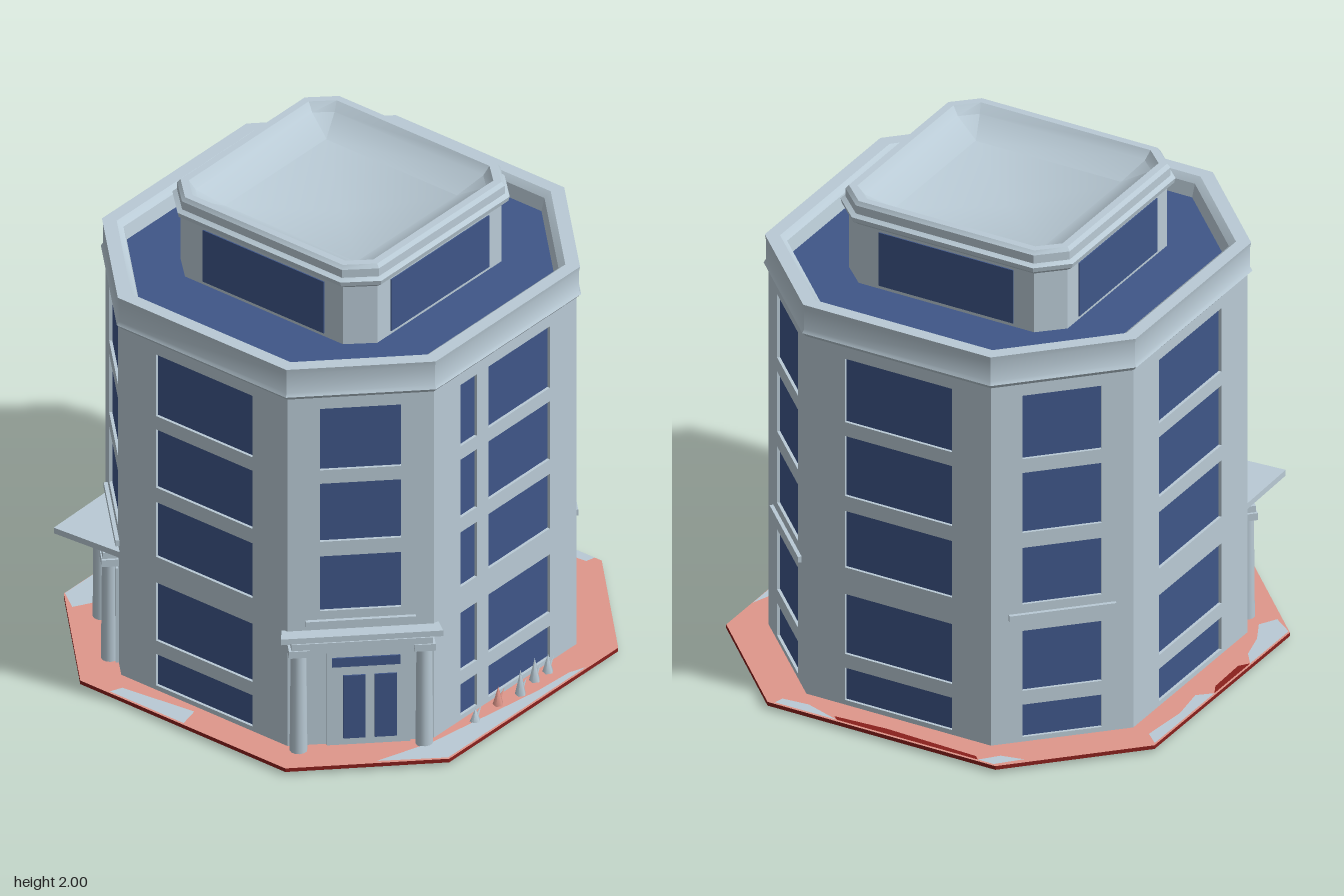
import * as THREE from 'three';
import { toCreasedNormals } from 'three/addons/utils/BufferGeometryUtils.js';

const mat = (name, color) => Object.assign(new THREE.MeshStandardMaterial({ color }), { name });

export function createModel() {
  const root = new THREE.Group();
  const stone = mat('pale stone', 0xb9cad5);
  const glass = mat('blue glass', 0x3f5688);
  const paving = mat('salmon paving', 0xdf978b);
  const kerbRed = mat('dark red kerb', 0x8a201c);

  function add(parent, name, geo, material, x = 0, y = 0, z = 0) {
    const m = new THREE.Mesh(geo, material);
    m.name = name;
    m.position.set(x, y, z);
    parent.add(m);
    return m;
  }
  const box = (parent, name, w, h, d, material, x, y, z) =>
    add(parent, name, new THREE.BoxGeometry(w, h, d), material, x, y, z);

  // Chamfered rectangle: half sizes hx, hz and corner positions cx, cz
  const corners = ([hx, hz, cx, cz], d = 0) => {
    const X = hx + d, Z = hz + d, a = Math.max(cx + d * 0.414, 0), b = Math.max(cz + d * 0.414, 0);
    return [[a, Z], [X, b], [X, -b], [a, -Z], [-a, -Z], [-X, -b], [-X, b], [-a, Z]];
  };

  // Skin through rings [offset, y]; an offset of null closes at the centre
  function loft(plan, rings, crease = 0.6) {
    const pos = [], idx = [];
    for (const [d, y] of rings)
      for (const [x, z] of corners(plan, d ?? 0)) pos.push(d === null ? 0 : x, y, d === null ? 0 : z);
    for (let i = 0; i < rings.length - 1; i++)
      for (let j = 0; j < 8; j++) {
        const a = i * 8 + j, b = i * 8 + (j + 1) % 8;
        if (rings[i][0] !== null) idx.push(a, b, b + 8);
        if (rings[i + 1][0] !== null) idx.push(a, b + 8, a + 8);
      }
    const g = new THREE.BufferGeometry();
    g.setAttribute('position', new THREE.Float32BufferAttribute(pos, 3));
    g.setIndex(idx);
    return toCreasedNormals(g, crease);
  }

  const wallPlan = [0.825, 0.8, 0.43, 0.405];
  const basePlan = [0.955, 0.94, 0.51, 0.5];
  const topPlan = [0.465, 0.48, 0.375, 0.385];

  // Paved base
  add(root, 'basePaving', loft(basePlan, [[0, 0.03], [null, 0.03]]), paving);
  add(root, 'baseKerb', loft(basePlan, [[-0.02, 0.008], [0, 0.014], [0, 0.03]]), kerbRed);
  add(root, 'baseUnderside', loft(basePlan, [[null, 0], [-0.02, 0.008]]), stone);

  // Worn patches on the paving, as [x, z] outlines
  const patches = [
    [stone, [[-0.57, -0.85], [-0.51, -0.935], [-0.22, -0.935], [-0.28, -0.89], [-0.4, -0.86], [-0.5, -0.81]]],
    [stone, [[0.05, -0.935], [0.5, -0.935], [0.45, -0.88], [0.25, -0.9], [0.1, -0.88]]],
    [stone, [[-0.95, -0.36], [-0.9, -0.34], [-0.86, -0.02], [-0.95, 0]]],
    [stone, [[0.86, -0.57], [0.95, -0.49], [0.95, -0.42], [0.88, -0.48]]],
    [stone, [[0.95, 0.2], [0.95, 0.47], [0.91, 0.46], [0.9, 0.35]]],
    [stone, [[-0.7, 0.74], [-0.46, 0.82], [0.08, 0.9], [0.25, 0.91], [0.32, 0.935], [-0.51, 0.935]]],
    [kerbRed, [[0.95, -0.42], [0.95, 0.2], [0.93, 0.22], [0.915, 0], [0.93, -0.4]]],
    [kerbRed, [[-0.22, -0.935], [0.05, -0.935], [0, -0.91], [-0.18, -0.905]]],
  ];
  for (const [m, pts] of patches) {
    const shape = new THREE.Shape(pts.map(([x, z]) => new THREE.Vector2(x, -z)));
    add(root, 'pavingPatch', new THREE.ShapeGeometry(shape).rotateX(-Math.PI / 2), m, 0, 0.034, 0);
  }

  // Inner body behind the facades
  add(root, 'wallCore', loft(wallPlan, [[-0.025, 0.03], [-0.025, 1.62]]), stone);

  // Eight facades with window openings
  const rows = [[0.05, 0.19], [0.25, 0.51], [0.625, 0.87], [0.935, 1.195], [1.255, 1.53]];
  const rect = (Type, x0, x1, y0, y1) =>
    new Type([[x0, y0], [x1, y0], [x1, y1], [x0, y1]].map(([x, y]) => new THREE.Vector2(x, y)));
  const pts = corners(wallPlan);

  pts.forEach(([x0, z0], i) => {
    const [x1, z1] = pts[(i + 1) % 8];
    const len = Math.hypot(x1 - x0, z1 - z0);
    const face = new THREE.Group();
    face.name = 'facade';
    face.position.set((x0 + x1) / 2, 0, (z0 + z1) / 2);
    face.rotation.y = Math.atan2(z0 - z1, x1 - x0);
    root.add(face);

    const diagonal = i % 2 === 0;
    const front = i === 7;
    const entrance = i === 4 || i === 6;
    const spans = front ? [[-0.27, -0.17], [-0.1, 0.27]] : diagonal ? [[-0.155, 0.155]] : [[-0.235, 0.235]];
    const wall = rect(THREE.Shape, -len / 2, len / 2, 0.03, 1.62);
    for (const [y0, y1] of entrance ? rows.slice(2) : rows)
      for (const [a, b] of spans) {
        wall.holes.push(rect(THREE.Path, a, b, y0, y1));
        box(face, 'window', b - a, y1 - y0, 0.008, glass, (a + b) / 2, (y0 + y1) / 2, -0.016);
      }
    add(face, 'wall', new THREE.ExtrudeGeometry(wall, { depth: 0.025, bevelEnabled: false }), stone, 0, 0, -0.025);
    if (diagonal) box(face, 'ledge', 0.42, 0.025, 0.02, stone, 0, 0.575, 0.005);
    if (entrance) buildEntrance(face, i === 4);
  });

  // Entrance: door, side columns and a straight or pointed canopy
  function buildEntrance(face, pointed) {
    const w = pointed ? 0.15 : 0.24;
    box(face, 'doorFrame', 0.32, 0.42, 0.012, stone, 0.03, 0.24, 0.006);
    for (const x of [-0.025, 0.095]) box(face, 'doorPane', 0.085, 0.28, 0.008, glass, x, 0.2, 0.014);
    box(face, 'transom', 0.26, 0.04, 0.008, glass, 0.02, 0.4, 0.014);
    for (const s of [-1, 1]) {
      add(face, 'entranceColumn', new THREE.CylinderGeometry(0.03, 0.034, 0.45, 12), stone, s * w, 0.255, 0.03);
      box(face, 'columnCap', 0.08, 0.03, 0.07, stone, s * w, 0.475, 0.03);
    }
    box(face, 'lintel', w * 2 + 0.06, 0.045, 0.06, stone, 0, 0.495, 0.03);
    const outline = pointed
      ? [[-0.23, -0.01], [0.23, -0.01], [0.02, 0.23]]
      : [[-0.3, -0.01], [0.3, -0.01], [0.31, 0.055], [-0.31, 0.055]];
    const shape = new THREE.Shape(outline.map(([x, z]) => new THREE.Vector2(x, -z)));
    const slab = new THREE.ExtrudeGeometry(shape, { depth: 0.025, bevelEnabled: false }).rotateX(-Math.PI / 2);
    add(face, 'canopy', slab, stone, 0, 0.517, 0);
  }

  // Parapet moulding and the blue roof deck inside it
  add(root, 'parapet', loft(wallPlan, [
    [0, 1.58], [0.018, 1.6], [0.01, 1.615], [0.01, 1.7], [0.014, 1.722],
    [-0.04, 1.722], [-0.065, 1.7], [-0.08, 1.63],
  ]), stone);
  add(root, 'roofDeck', loft(wallPlan, [[-0.075, 1.645], [null, 1.645]]), glass);

  // Penthouse with a moulded rim and a dished roof
  add(root, 'penthouse', loft(topPlan, [
    [0, 1.64], [0, 1.9], [0.025, 1.92], [0.03, 1.94], [0.012, 1.95], [0.012, 1.985], [0, 2],
    [-0.03, 2], [-0.055, 1.965], [-0.16, 1.91], [null, 1.86],
  ]), stone);
  for (let k = 0; k < 4; k++) {
    const side = new THREE.Group();
    side.name = 'penthouseSide';
    side.rotation.y = k * Math.PI / 2;
    box(side, 'penthouseWindow', 0.59, 0.23, 0.008, glass, 0, 1.775, k % 2 ? 0.466 : 0.481);
    root.add(side);
  }

  // Small pointed figures on the front paving
  [[-0.24, 0.85, 0.06], [-0.09, 0.84, 0.08], [0.02, 0.86, 0.11], [0.13, 0.84, 0.1], [0.21, 0.84, 0.08]]
    .forEach(([x, z, h], i) => {
      const m = i === 1 ? paving : stone;
      add(root, 'figureBody', new THREE.ConeGeometry(0.022, h, 5), m, x, 0.03 + h / 2, z);
      const arm = add(root, 'figureArm', new THREE.ConeGeometry(0.012, 0.07, 4), m, x + 0.015, 0.06, z);
      arm.rotation.z = -0.7;
    });

  return root;
}
